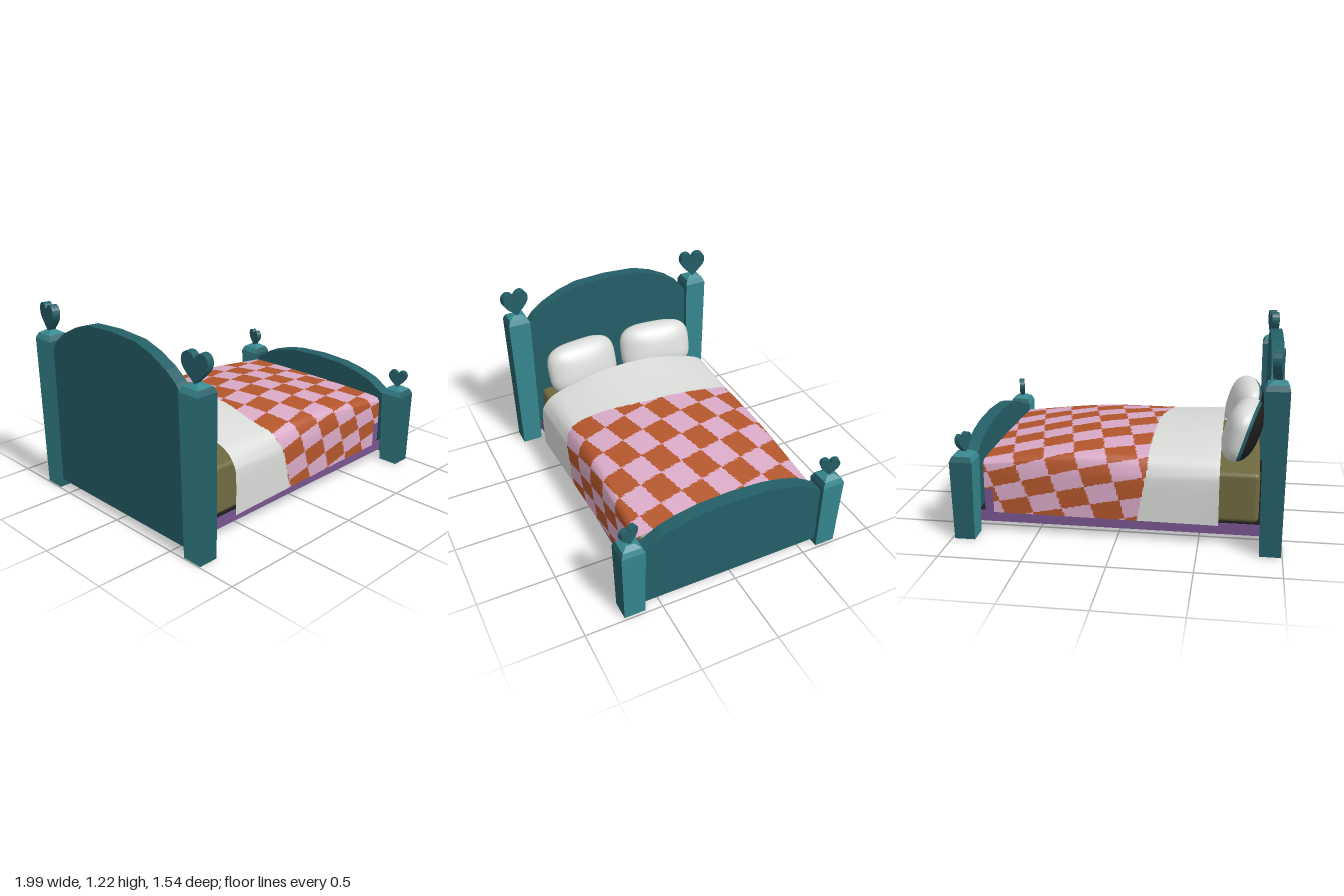
import * as THREE from 'three';
import { RoundedBoxGeometry } from 'three/addons/geometries/RoundedBoxGeometry.js';

const mat = (name, color, side = THREE.FrontSide) => {
  const m = new THREE.MeshStandardMaterial({ color, side });
  m.name = name;
  return m;
};

// Sort triangles into material groups; pick(centre, normal, uv) returns a material index
function paint(geo, count, pick) {
  const pos = geo.attributes.position, uvs = geo.attributes.uv;
  const idx = geo.index ? Array.from(geo.index.array) : [...Array(pos.count).keys()];
  const buckets = Array.from({ length: count }, () => []);
  const tri = new THREE.Triangle(), c = new THREE.Vector3(), n = new THREE.Vector3(), uv = new THREE.Vector2();
  for (let i = 0; i < idx.length; i += 3) {
    const f = idx.slice(i, i + 3);
    tri.setFromAttributeAndIndices(pos, ...f);
    tri.getMidpoint(c);
    tri.getNormal(n);
    uv.set(0, 0);
    f.forEach(k => { uv.x += uvs.getX(k) / 3; uv.y += uvs.getY(k) / 3; });
    buckets[pick(c, n, uv)].push(...f);
  }
  geo.setIndex(buckets.flat());
  geo.clearGroups();
  let start = 0;
  buckets.forEach((b, i) => { geo.addGroup(start, b.length, i); start += b.length; });
  return geo;
}

export function createModel() {
  const bed = new THREE.Group();
  bed.name = 'bed';
  const teal = mat('light teal', 0x36878f), darkTeal = mat('dark teal', 0x245f67);
  const white = mat('white linen', 0xd9dcd9, THREE.DoubleSide);
  const pink = mat('pink', 0xd9a9c6, THREE.DoubleSide);
  const orange = mat('burnt orange', 0xb3562c, THREE.DoubleSide);
  const purple = mat('purple', 0x785490, THREE.DoubleSide);
  const olive = mat('olive', 0x6f6a40), black = mat('near black', 0x1c1c1c);

  const add = (name, geo, material, x = 0, y = 0, z = 0, parent = bed) => {
    const m = new THREE.Mesh(geo, material);
    m.name = name;
    m.position.set(x, y, z);
    parent.add(m);
    return m;
  };

  // Four-sided tapered block: half widths b (bottom) and t (top)
  const block = (b, t, y0, y1) => {
    const g = new THREE.CylinderGeometry(t * Math.SQRT2, b * Math.SQRT2, y1 - y0, 4, 1).toNonIndexed();
    g.rotateY(Math.PI / 4);
    g.scale(0.94, 1, 1);
    g.translate(0, (y0 + y1) / 2, 0);
    g.computeVertexNormals();
    return paint(g, 2, (c, n) => (Math.abs(n.z) > 0.9 ? 1 : 0));
  };

  // Heart finial, point at the origin, one unit wide
  const heart = new THREE.Shape();
  heart.moveTo(0, 0);
  heart.bezierCurveTo(0.12, 0.2, 0.5, 0.36, 0.5, 0.66);
  heart.bezierCurveTo(0.5, 0.98, 0.1, 1.02, 0, 0.74);
  heart.bezierCurveTo(-0.1, 1.02, -0.5, 0.98, -0.5, 0.66);
  heart.bezierCurveTo(-0.5, 0.36, -0.12, 0.2, 0, 0);
  const heartGeo = (width) => {
    const g = new THREE.ExtrudeGeometry(heart, { depth: 0.28, bevelEnabled: false, curveSegments: 8 });
    g.translate(0, 0, -0.14);
    g.rotateY(Math.PI / 2);
    return g.scale(width, width * 1.06, width);
  };

  // Posts with stepped caps and hearts
  function post(name, x, z, height, heartWidth, twist) {
    const g = new THREE.Group();
    g.name = name;
    g.position.set(x, 0, z);
    bed.add(g);
    const mats = [teal, darkTeal];
    add('postBody', block(0.067, 0.075, 0, height), mats, 0, 0, 0, g);
    add('postCapLower', block(0.075, 0.06, height, height + 0.033), mats, 0, 0, 0, g);
    add('postCapUpper', block(0.06, 0.025, height + 0.033, height + 0.053), mats, 0, 0, 0, g);
    add('heartFinial', heartGeo(heartWidth), darkTeal, 0, height + 0.045, 0, g).rotation.y = twist;
  }
  for (const s of [-1, 1]) {
    post('headPost', -0.929, s * 0.675, 1.0, 0.18, s * 0.14);
    post('footPost', 0.92, s * 0.675, 0.495, 0.122, s * 0.3);
  }

  // Arched end panels; arch lists [half width, height] from the edge to the middle
  function panel(name, arch, x0, x1) {
    const right = arch.map(([z, y]) => new THREE.Vector2(z, y));
    const left = arch.slice(0, -1).reverse().map(([z, y]) => new THREE.Vector2(-z, y));
    const shape = new THREE.Shape([new THREE.Vector2(-0.61, 0.05), new THREE.Vector2(0.61, 0.05), ...right, ...left]);
    const g = new THREE.ExtrudeGeometry(shape, { depth: x1 - x0, bevelEnabled: false });
    add(name, g.rotateY(Math.PI / 2), darkTeal, x0);
  }
  panel('headboard', [[0.61, 0.95], [0.55, 1.02], [0.47, 1.08], [0.35, 1.14], [0.22, 1.18], [0, 1.192]], -0.97, -0.893);
  panel('footboard', [[0.61, 0.46], [0.47, 0.547], [0.35, 0.585], [0.22, 0.61], [0, 0.622]], 0.873, 0.96);

  // Base, dark top edge and mattress
  add('bedBase', new THREE.BoxGeometry(1.78, 0.07, 1.18), purple, -0.01, 0.097);
  add('baseTop', new THREE.BoxGeometry(1.76, 0.006, 1.165), black, -0.01, 0.134);
  add('mattress', new RoundedBoxGeometry(1.685, 0.315, 1.14, 3, 0.03), olive, -0.015, 0.29);
  add('mattressEnd', new THREE.BoxGeometry(0.009, 0.26, 1.1), black, 0.832, 0.265);

  // Pillows: a sphere squared off in outline, with a dark back and a teal rim
  const spow = (v, e) => Math.sign(v) * Math.abs(v) ** e;
  for (const s of [-1, 1]) {
    const g = new THREE.SphereGeometry(1, 48, 32);
    g.rotateZ(-Math.PI / 2);
    const p = g.attributes.position;
    for (let i = 0; i < p.count; i++) {
      const r = Math.hypot(p.getY(i), p.getZ(i)), k = r ** 0.8 / (r || 1);
      const outline = v => spow(v / (r || 1), 0.6) * r * k;
      p.setXYZ(i, p.getX(i) * 0.11, outline(p.getY(i)) * 0.18, outline(p.getZ(i)) * 0.26);
    }
    g.computeVertexNormals();
    paint(g, 3, c => (c.x < -0.05 ? 2 : c.x < -0.03 ? 1 : 0));
    g.rotateZ(0.3);
    g.rotateY(s * 0.12);
    add('pillow', g, [white, darkTeal, black], -0.745, 0.64, s * 0.285);
  }

  // Blanket: cross-section blends from a high arch at the head to a flat box at the foot
  const section = pts => new THREE.SplineCurve(pts.map(([w, f]) => new THREE.Vector2(w, f)));
  const headCurve = section([[0, 1], [0.3, 0.975], [0.55, 0.91], [0.86, 0.78], [0.97, 0.64], [1, 0.48], [1, 0]]);
  const footCurve = section([[0, 1], [0.3, 0.998], [0.6, 0.99], [0.93, 0.97], [0.985, 0.92], [1, 0.8], [1, 0]]);
  const ridge = new THREE.SplineCurve([[-0.62, 0.64], [-0.25, 0.597], [0.25, 0.563], [0.83, 0.475]]
    .map(a => new THREE.Vector2(...a)));
  const NX = 120, NS = 180, halfLength = 1.02;
  const pos = [], uv = [], idx = [];
  for (let i = 0; i <= NX; i++) {
    const k = i / NX, top = ridge.getPoint(k);
    const width = 0.65 - 0.055 * k, low = 0.14 - 0.015 * k;
    for (let j = 0; j <= NS; j++) {
      const t = (2 * j) / NS - 1;
      const q = headCurve.getPointAt(Math.abs(t)).lerp(footCurve.getPointAt(Math.abs(t)), k);
      pos.push(top.x, low + (top.y - low) * q.y, Math.sign(t) * q.x * width);
      uv.push(top.x, t * halfLength);
      if (i < NX && j < NS) {
        const a = i * (NS + 1) + j, b = a + NS + 1;
        idx.push(a, a + 1, b, b, a + 1, b + 1);
      }
    }
  }
  const blanket = new THREE.BufferGeometry();
  blanket.setAttribute('position', new THREE.Float32BufferAttribute(pos, 3));
  blanket.setAttribute('uv', new THREE.Float32BufferAttribute(uv, 2));
  blanket.setIndex(idx);
  blanket.computeVertexNormals();
  // White turned-down sheet, then a tilted check; purple lower corners at the foot
  const cos = Math.cos(0.25), sin = Math.sin(0.25);
  paint(blanket, 4, (c, n, { x, y: s }) => {
    const fold = -0.19 - 0.06 * Math.exp(-(((s - 0.4) / 0.25) ** 2)) + 0.15 * Math.max(0, Math.abs(s) - 0.6);
    if (x < fold) return 0;
    if (x > 0.77 && c.y < 0.28) return 3;
    const dx = x - 0.125, ds = s - 0.82;
    const u = Math.floor((dx * cos - ds * sin) / 0.185 + 0.5);
    const v = Math.floor((dx * sin + ds * cos) / 0.145 + 0.5);
    return (u + v) % 2 === 0 ? 2 : 1;
  });
  add('blanket', blanket, [white, pink, orange, purple]);

  return bed;
}
